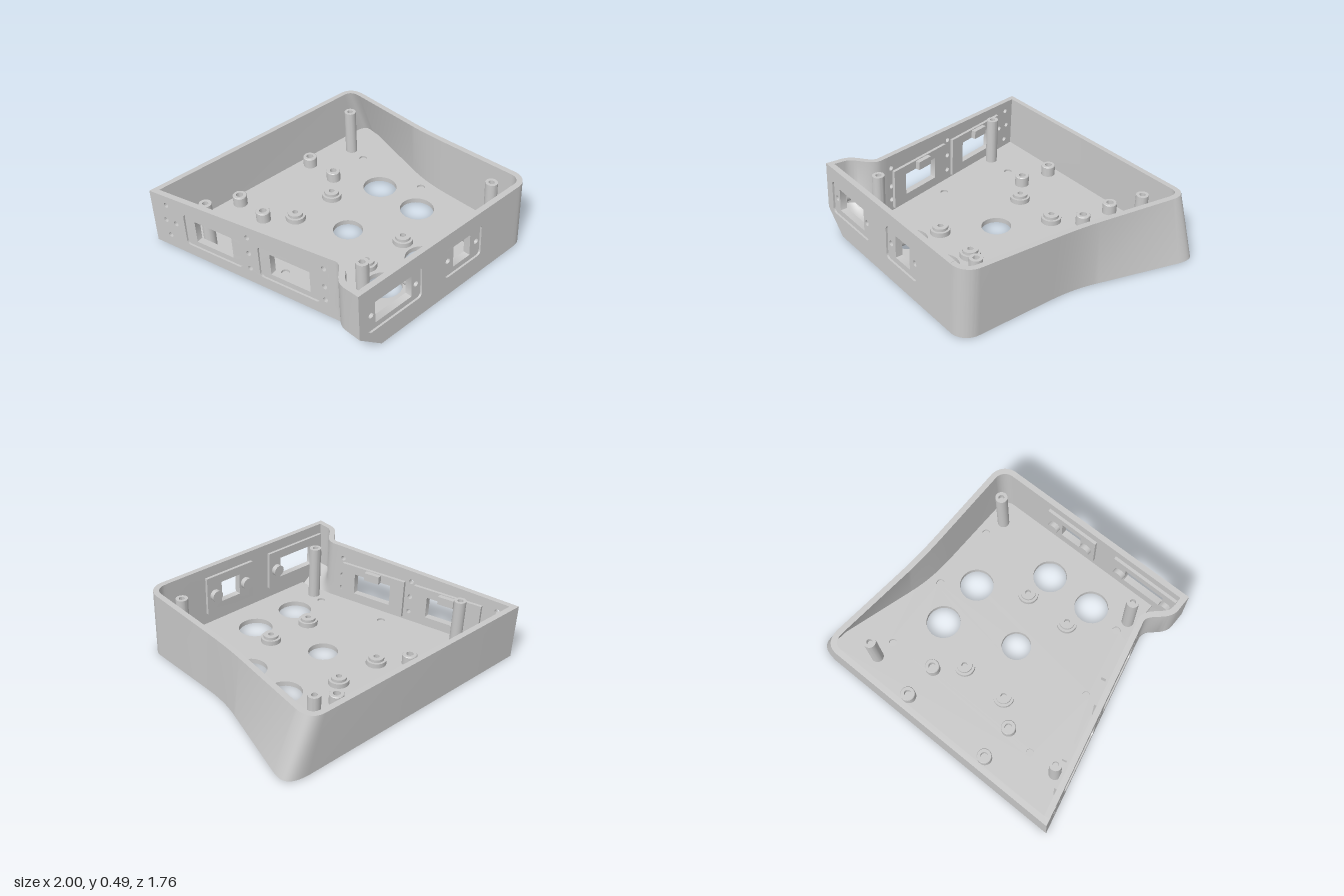
import * as THREE from 'three';
import { toCreasedNormals } from 'three/addons/utils/BufferGeometryUtils.js';

const T = 0.04;                                   // wall thickness
const LEAN = 0.045;                               // walls lean back, square to the sloping rim
const rimY = (z) => 0.4425 + 0.0487 * z;
const shear = new THREE.Matrix4().set(1, 0, 0, 0, 0, 1, 0, 0, 0, -LEAN, 1, 0, 0, 0, 0, 1);
// Point on the slanted side wall, u measured from the back corner
const sideDir = new THREE.Vector2(0.226, 0.974);
const side = (u) => [-1 + sideDir.x * u, -0.86 + sideDir.y * u];
const SIDE_START = 0.05, SIDE_END = 1.4;

export function createModel() {
  const model = new THREE.Group();
  const grey = new THREE.MeshStandardMaterial({ color: 0xc8c8c8 });
  grey.name = 'light grey plastic';

  const add = (name, geometry, matrix) => {
    if (matrix) geometry.applyMatrix4(matrix);
    const mesh = new THREE.Mesh(toCreasedNormals(geometry, 0.6), grey);
    mesh.name = name;
    model.add(mesh);
  };

  // Offset a plan outline inwards with mitred corners
  const inset = (pts, d) => pts.map((p, i) => {
    const a = pts[Math.max(i - 1, 0)], b = pts[Math.min(i + 1, pts.length - 1)];
    const normal = (s, e) => new THREE.Vector2(e.y - s.y, s.x - e.x).normalize();
    const n1 = i > 0 ? normal(a, p) : normal(p, b);
    const n2 = i < pts.length - 1 ? normal(p, b) : n1;
    const m = n1.clone().add(n2).normalize();
    return p.clone().addScaledVector(m, d / Math.max(m.dot(n2), 0.4));
  });

  // Wall swept along plan outlines; levels = [{ pts, y }] from bottom to rim
  const wall = (name, levels) => {
    const ring = [...levels, ...levels.map((l) => ({ pts: inset(l.pts, T), y: l.y })).reverse()];
    const n = levels[0].pts.length, k = ring.length, pos = [], idx = [];
    for (let i = 0; i < n; i++) {
      for (const l of ring) {
        const p = l.pts[i];
        pos.push(p.x, l.y ?? rimY(p.y), p.y);
      }
    }
    for (let i = 0; i < n - 1; i++) {
      for (let j = 0; j < k; j++) {
        const a = i * k + j, d = i * k + (j + 1) % k;
        idx.push(a, a + k, d + k, a, d + k, d);
      }
    }
    const g = new THREE.BufferGeometry();
    g.setAttribute('position', new THREE.Float32BufferAttribute(pos, 3));
    g.setIndex(idx);
    g.computeVertexNormals();
    add(name, g, shear);
  };

  // Right and back wall: flares outwards at the foot
  const rightOutline = (top) => {
    const p = new THREE.Path();
    p.moveTo(0.64, 0.88);
    p.lineTo(0.66, 0.88);
    p.absarc(0.66, 0.76, 0.12, Math.PI / 2, 0, true);
    p.lineTo(0.78, 0.24);
    if (top) {
      p.bezierCurveTo(0.78, 0.12, 0.781, -0.01, 0.793, -0.14);
      p.lineTo(0.848, -0.72);
      p.bezierCurveTo(0.857, -0.81, 0.82, -0.86, 0.74, -0.86);
    } else {
      p.bezierCurveTo(0.78, 0.1, 0.79, -0.01, 0.83, -0.14);
      p.lineTo(0.99, -0.7);
      p.bezierCurveTo(1.018, -0.81, 0.99, -0.85, 0.86, -0.86);
    }
    p.lineTo(-1, -0.86);
    p.lineTo(...side(SIDE_START));
    return p.getPoints(12);
  };
  // Bulged corner between side and front; its foot is cut away
  const cornerOutline = (top) => {
    const p = new THREE.Path(), x = top ? -0.8 : -0.62;
    p.moveTo(...side(SIDE_END));
    p.lineTo(-0.67, 0.56);
    if (top) p.bezierCurveTo(-0.66, 0.63, -0.795, 0.66, x, 0.76);
    else p.bezierCurveTo(-0.655, 0.63, -0.625, 0.69, x, 0.76);
    p.lineTo(x, 0.88);
    p.lineTo(x + 0.05, 0.88);
    return p.getPoints(12);
  };
  const rightFoot = rightOutline(false), cornerFoot = cornerOutline(false), cornerTop = cornerOutline(true);
  wall('rightAndBackWall', [{ pts: rightFoot, y: 0 }, { pts: rightOutline(true) }]);
  const cutAway = [0, 0.2, 0.4, 0.6, 0.8, 1].map((t) => ({
    pts: cornerFoot.map((p, i) => p.clone().lerp(cornerTop[i], t)), y: 0.15 * t,
  }));
  wall('frontCornerWall', [...cutAway, { pts: cornerTop }]);

  // Flat plate helpers
  const circle = (x, y, r) => new THREE.Path().absarc(x, y, r, 0, Math.PI * 2);
  const rect = (x0, x1, y0, y1, r = 0.002) => {
    const p = new THREE.Shape();
    p.absarc(x1 - r, y0 + r, r, -Math.PI / 2, 0);
    p.absarc(x1 - r, y1 - r, r, 0, Math.PI / 2);
    p.absarc(x0 + r, y1 - r, r, Math.PI / 2, Math.PI);
    p.absarc(x0 + r, y0 + r, r, Math.PI, Math.PI * 1.5);
    return p;
  };
  const slab = (outline, holes, z, depth) => {
    const s = new THREE.Shape(outline.map(([x, y]) => new THREE.Vector2(x, y)));
    s.holes.push(...holes);
    return new THREE.ExtrudeGeometry(s, { depth, bevelEnabled: false, curveSegments: 12 }).translate(0, 0, z);
  };

  // Panel wall: recessed skin over a thicker core with windows and screw holes
  const panelWall = (name, outline, units, holes, matrix) => {
    const R = 0.014;
    const through = holes.map(([x, y]) => circle(x, y, 0.018));
    const frames = units.map((u) => rect(...u.recess, 0.03));
    const windows = units.map((u) => rect(...u.window));
    const screws = units.flatMap((u) => u.screws.map(([x, y]) => circle(x, y, 0.02)));
    add(name + 'Skin', slab(outline, [...frames, ...through], -R, R), matrix);
    add(name + 'Core', slab(outline, [...windows, ...screws, ...through], -T, T - R), matrix);
    units.forEach((u) => {
      const [x0, x1, y0, y1] = u.plate;
      add(name + 'BackingPlate', slab([[x0, y0], [x1, y0], [x1, y1], [x0, y1]], [rect(...u.window)], -T - 0.022, 0.022), matrix);
      u.screws.forEach(([x, y]) => add(name + 'ScrewBoss',
        new THREE.CylinderGeometry(0.042, 0.042, 0.036, 24).rotateX(Math.PI / 2).translate(x, y, -T - 0.04), matrix));
      if (u.clip) add(name + 'Clip',
        new THREE.BoxGeometry(0.12, 0.06, 0.035).translate(u.clip, 0.31, -T - 0.039), matrix);
    });
  };

  // Front wall with a wide and a square window
  panelWall('frontWall',
    [[-0.57, 0], [0.64, 0], [0.64, rimY(0.88)], [-0.75, rimY(0.88)], [-0.75, 0.15]],
    [
      { recess: [-0.73, -0.265, 0.145, 0.385], window: [-0.655, -0.345, 0.185, 0.345],
        screws: [[-0.69, 0.262], [-0.305, 0.262]], plate: [-0.75, -0.24, 0.12, 0.41] },
      { recess: [-0.05, 0.295, 0.145, 0.385], window: [0.04, 0.2, 0.185, 0.345],
        screws: [[-0.012, 0.262], [0.26, 0.262]], plate: [-0.08, 0.325, 0.12, 0.41] },
    ], [],
    shear.clone().multiply(new THREE.Matrix4().makeTranslation(0, 0, 0.88)));

  // Slanted side wall with two windows
  const sideUnit = (u) => ({
    recess: [u - 0.23, u + 0.23, 0.08, 0.32], window: [u - 0.15, u + 0.15, 0.12, 0.28],
    screws: [], plate: [u - 0.26, u + 0.26, 0.055, 0.345], clip: u - 0.01,
  });
  const frame = new THREE.Matrix4().makeBasis(
    new THREE.Vector3(sideDir.x, 0, sideDir.y), new THREE.Vector3(0, 1, 0),
    new THREE.Vector3(-sideDir.y, 0, sideDir.x)).setPosition(-1, 0, -0.86);
  const sideHoles = [[0.11, 0.21], [0.195, 0.21]];
  for (const u of [0.13, 0.795, 1.37]) sideHoles.push([u, 0.09 + u * 0.025], [u, 0.33 + u * 0.03]);
  for (const u of [0.795, 1.37]) sideHoles.push([u, 0.23]);
  panelWall('sideWall',
    [[SIDE_START, 0], [SIDE_END, 0], [SIDE_END, rimY(side(SIDE_END)[1])], [SIDE_START, rimY(side(SIDE_START)[1])]],
    [sideUnit(0.5), sideUnit(1.1)], sideHoles, shear.clone().multiply(frame));

  // Floor: solid lower layer, upper layer with shallow sockets
  const floorOutline = [...inset(rightFoot, T * 0.75), ...inset(cornerFoot, T * 0.75)].map((p) => [p.x, -p.y]);
  const vents = [[0.46, -0.18, 0.12], [0.46, 0.18, 0.12], [-0.27, 0.56, 0.12], [0.1, 0.56, 0.12], [-0.045, 0.005, 0.103]]
    .map(([x, z, r]) => circle(x, -z, r));
  const sockets = [[-0.59, -0.52], [-0.635, 0.03], [-0.51, 0.535], [0.63, -0.52], [0.67, 0.03], [0.67, 0.535]]
    .map(([x, z]) => circle(x, -z, 0.028));
  const up = new THREE.Matrix4().makeRotationX(-Math.PI / 2);
  add('floorBase', slab(floorOutline, vents, 0, 0.02), up);
  add('floorTop', slab(floorOutline, [...vents, ...sockets], 0.02, 0.015), up);

  // Standoffs and lid posts, each with a blind screw hole
  const turned = (name, x, z, profile, hole) => {
    const h = profile[profile.length - 1][1];
    const pts = [...profile, [hole, h], [hole, h - 0.04], [0, h - 0.04]].map(([r, y]) => new THREE.Vector2(r, y));
    add(name, new THREE.LatheGeometry(pts, 28).translate(x, 0, z + LEAN * h), shear);
  };
  for (const x of [-0.38, 0.29]) for (const z of [-0.74, -0.49]) {
    turned('boardStandoff', x, z, [[0.05, 0], [0.05, 0.105], [0.046, 0.11]], 0.025);
  }
  for (const x of [-0.215, 0.13]) for (const z of [-0.34, 0.35]) {
    turned('flangedStandoff', x, z, [[0.07, 0], [0.07, 0.07], [0.053, 0.07], [0.053, 0.09]], 0.02);
  }
  for (const [x, z] of [[-0.805, -0.54], [0.645, -0.675], [-0.53, 0.62], [0.63, 0.665]]) {
    turned('lidPost', x, z, [[0.042, 0], [0.042, rimY(z) - 0.04]], 0.02);
  }
  return model;
}
